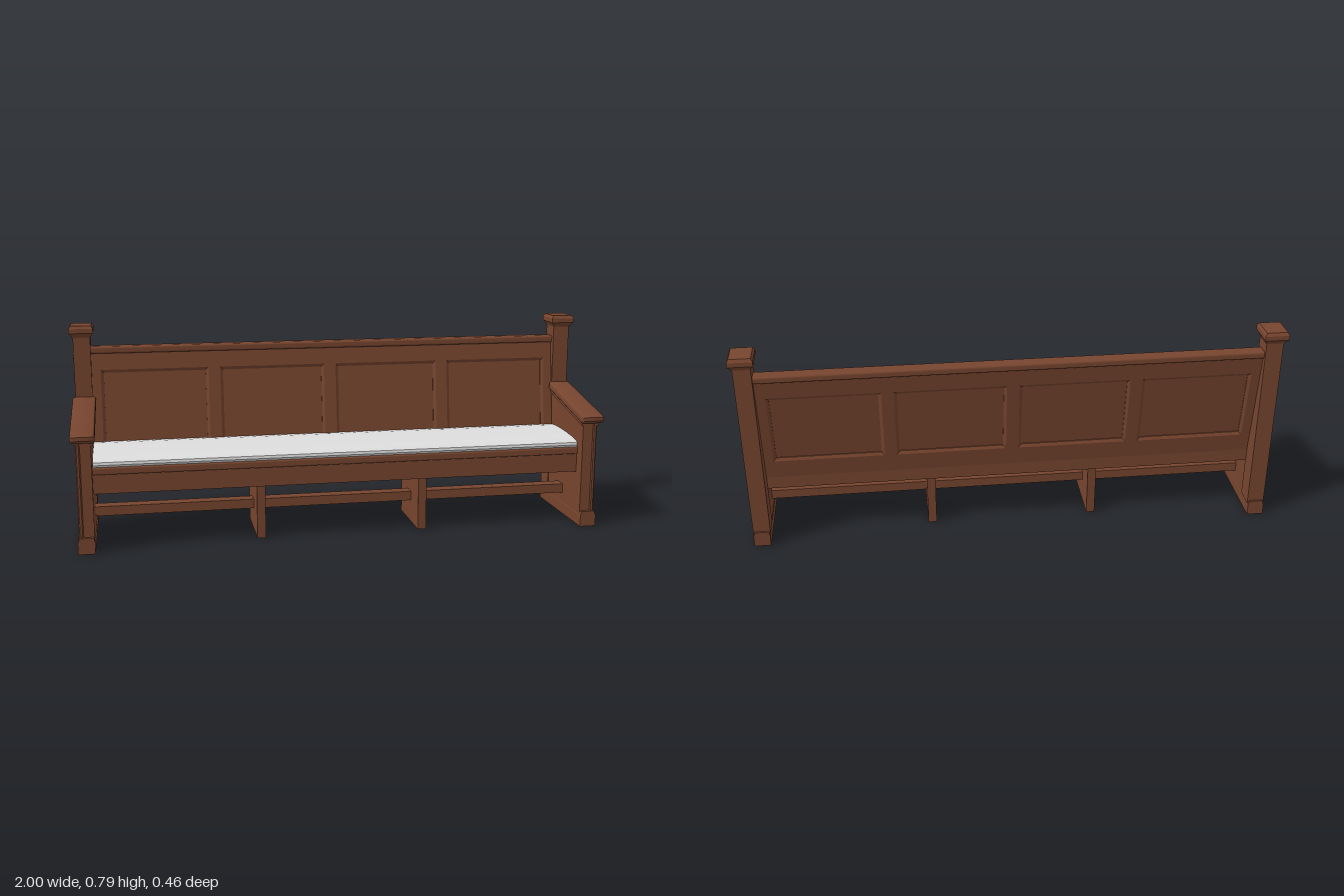
import * as THREE from 'three';
import { toCreasedNormals } from 'three/addons/utils/BufferGeometryUtils.js';
import { RoundedBoxGeometry } from 'three/addons/geometries/RoundedBoxGeometry.js';

const mat = (name, color) => {
  const m = new THREE.MeshStandardMaterial({ color });
  m.name = name;
  return m;
};

// Closed outline from [a, b] pairs
const toPath = (pts, Type = THREE.Shape) => new Type(pts.map(([a, b]) => new THREE.Vector2(a, b)));

// Extrudes a [z, y] outline sideways from x0 to x1, bevel included
function sideExtrude(pts, x0, x1, bevel = 0, holes = []) {
  const flip = (list) => list.map(([z, y]) => [-z, y]);
  const shape = toPath(flip(pts));
  shape.holes = holes.map((h) => toPath(flip(h), THREE.Path));
  const geo = new THREE.ExtrudeGeometry(shape, {
    depth: x1 - x0 - 2 * bevel, bevelEnabled: bevel > 0,
    bevelSize: bevel, bevelThickness: bevel, bevelSegments: holes.length ? 1 : 3,
  });
  return geo.rotateY(Math.PI / 2).translate(x0 + bevel, 0, 0);
}

function box(x0, x1, y0, y1, z0, z1, r = 0) {
  const size = [x1 - x0, y1 - y0, z1 - z0];
  const geo = r ? new RoundedBoxGeometry(...size, 2, r) : new THREE.BoxGeometry(...size);
  return geo.translate((x0 + x1) / 2, (y0 + y1) / 2, (z0 + z1) / 2);
}

// Mirrored copy across x = 0 with the corner order restored
function mirrorX(source) {
  const geo = source.index ? source.toNonIndexed() : source.clone();
  geo.scale(-1, 1, 1);
  for (const attr of Object.values(geo.attributes)) {
    const n = attr.itemSize;
    for (let i = 0; i < attr.count; i += 3) {
      for (let k = 0; k < n; k++) {
        const a = (i + 1) * n + k, b = (i + 2) * n + k;
        [attr.array[a], attr.array[b]] = [attr.array[b], attr.array[a]];
      }
    }
  }
  return geo;
}

// Carved pattern: four diagonal chamfered bars and four diamonds
function patternOutlines(grow) {
  const cz = 0.035, cy = 0.231, out = [];
  const L = 0.071 + grow, W = 0.025 + grow, c = 0.016 + grow * 0.5;
  const bar = [[L, W - c], [L - c, W], [c - L, W], [-L, W - c], [-L, c - W], [c - L, -W], [L - c, -W], [L, c - W]];
  const d = 0.038 + grow * 1.41;
  const diamond = [[d, 0], [0, d], [-d, 0], [0, -d]];
  for (let i = 0; i < 4; i++) {
    const a = (i * Math.PI) / 2, b = a + Math.PI / 4;
    out.push(diamond.map(([u, v]) => [cz + 0.094 * Math.cos(a) + u, cy + 0.094 * Math.sin(a) + v]));
    out.push(bar.map(([u, v]) => [
      cz + (0.097 + u) * Math.cos(b) - v * Math.sin(b),
      cy + (0.097 + u) * Math.sin(b) + v * Math.cos(b),
    ]));
  }
  return out;
}

export function createModel() {
  const model = new THREE.Group();
  model.name = 'pew';
  const wood = mat('wood', 0x77452f);
  const tan = mat('tan inlay', 0xb8a67b);
  const fabric = mat('light cushion', 0xdddddd);

  const add = (name, geo, material = wood, parent = model) => {
    const mesh = new THREE.Mesh(geo, material);
    mesh.name = name;
    parent.add(mesh);
    return mesh;
  };

  // Both bench ends
  const ends = { left: new THREE.Group(), right: new THREE.Group() };
  for (const side of ['left', 'right']) {
    ends[side].name = side + 'End';
    model.add(ends[side]);
  }
  const addPair = (name, geo, material = wood) => {
    add(name, geo, material, ends.left);
    add(name, mirrorX(geo), material, ends.right);
  };

  // End board with a carved outer skin and inlays at the bottom of the carving
  const board = [[0.201, 0.03], [0.201, 0.412], [-0.15, 0.486], [-0.15, 0.03]];
  addPair('endBoard', sideExtrude(board, 0.925, 0.968));
  addPair('carvedSkin', sideExtrude(board, 0.964, 0.98, 0.004, patternOutlines(0.004)));
  patternOutlines(0).forEach((pts) => addPair('inlay', sideExtrude(pts, 0.967, 0.971), tan));

  // Foot running front to back, chamfered along its top
  const foot = new THREE.ExtrudeGeometry(
    toPath([[0.924, 0], [0.986, 0], [0.986, 0.042], [0.98, 0.06], [0.928, 0.06], [0.924, 0.042]]),
    { depth: 0.437, bevelEnabled: false });
  addPair('foot', foot.translate(0, 0, -0.222));

  // Post with flared cap and star
  addPair('post', box(0.922, 0.986, 0.048, 0.745, -0.215, -0.137));
  const capProfile = [[0, 0.738], [0.74, 0.738], [0.76, 0.742], [1, 0.757], [1, 0.774], [0.86, 0.785], [0, 0.785]];
  const cap = new THREE.LatheGeometry(
    capProfile.map(([r, y]) => new THREE.Vector2(r * Math.SQRT1_2, y)), 4, Math.PI / 4).toNonIndexed();
  cap.scale(0.09, 1, 0.108).translate(0.955, 0, -0.176);
  cap.computeVertexNormals();
  addPair('postCap', cap);
  const star = [];
  for (let i = 0; i < 16; i++) {
    const a = (i * Math.PI) / 8, r = i % 2 ? 0.021 : 0.028;
    star.push([-0.176 + r * Math.cos(a), 0.665 + r * Math.sin(a)]);
  }
  addPair('star', sideExtrude(star, 0.984, 0.989), tan);

  // Sloping armrest with a rounded nose and a thin moulding beneath
  const arm = [[0.205, 0.42], [0.217, 0.42], [0.222, 0.425], [0.222, 0.43], [0.214, 0.434],
    [-0.13, 0.503], [-0.13, 0.491]];
  addPair('armrest', toCreasedNormals(sideExtrude(arm, 0.91, 0.997, 0.009), 0.6));
  addPair('armMoulding', sideExtrude([[0.203, 0.398], [0.203, 0.416], [-0.14, 0.488], [-0.14, 0.47]], 0.919, 0.986));

  // Seat board, front apron and rear rail
  add('seatBoard', box(-0.928, 0.928, 0.277, 0.304, -0.13, 0.157, 0.006));
  add('apron', box(-0.928, 0.928, 0.205, 0.278, 0.125, 0.149));
  add('rearRail', box(-0.928, 0.928, 0.203, 0.285, -0.142, -0.105));

  // Cushion with softly domed top
  const cushion = [[0.148, 0.303], [0.152, 0.312], [0.15, 0.322], [0.14, 0.328], [0.1, 0.334],
    [0.04, 0.339], [-0.03, 0.342], [-0.09, 0.342], [-0.128, 0.338], [-0.128, 0.303]];
  add('cushion', toCreasedNormals(sideExtrude(cushion, -0.924, 0.924), 0.6), fabric);

  // Leaning backrest: frame with four bevelled openings, panels set in the middle
  const back = new THREE.Group();
  back.name = 'backrest';
  back.position.set(0, 0.2, -0.103);
  back.rotation.x = -0.13;
  model.add(back);
  const bevel = 0.011;
  const rect = (x0, x1, y0, y1) => [[x0, y0], [x1, y0], [x1, y1], [x0, y1]];
  const frame = toPath(rect(-0.92, 0.92, 0.02, 0.48));
  const centres = [-0.683, -0.228, 0.228, 0.683];
  frame.holes = centres.map((x) => toPath(rect(x - 0.205, x + 0.205, 0.13, 0.415), THREE.Path));
  const frameGeo = new THREE.ExtrudeGeometry(frame, {
    depth: 0.018, bevelEnabled: true, bevelSize: bevel, bevelThickness: 0.007, bevelSegments: 1,
  });
  add('backFrame', frameGeo.translate(0, 0, -0.025), wood, back);
  for (const x of centres) {
    add('backPanel', box(x - 0.2, x + 0.2, 0.125, 0.42, -0.022, -0.01), wood, back);
  }
  add('topRail', box(-0.928, 0.928, 0.674, 0.701, -0.206, -0.154, 0.008));

  // Supports under the seat and the long stretcher
  for (const x of [-0.313, 0.309]) {
    add('support', box(x - 0.016, x + 0.016, 0, 0.278, -0.135, 0.135));
  }
  add('stretcher', box(-0.928, 0.928, 0.085, 0.121, -0.03, 0.02));

  return model;
}
